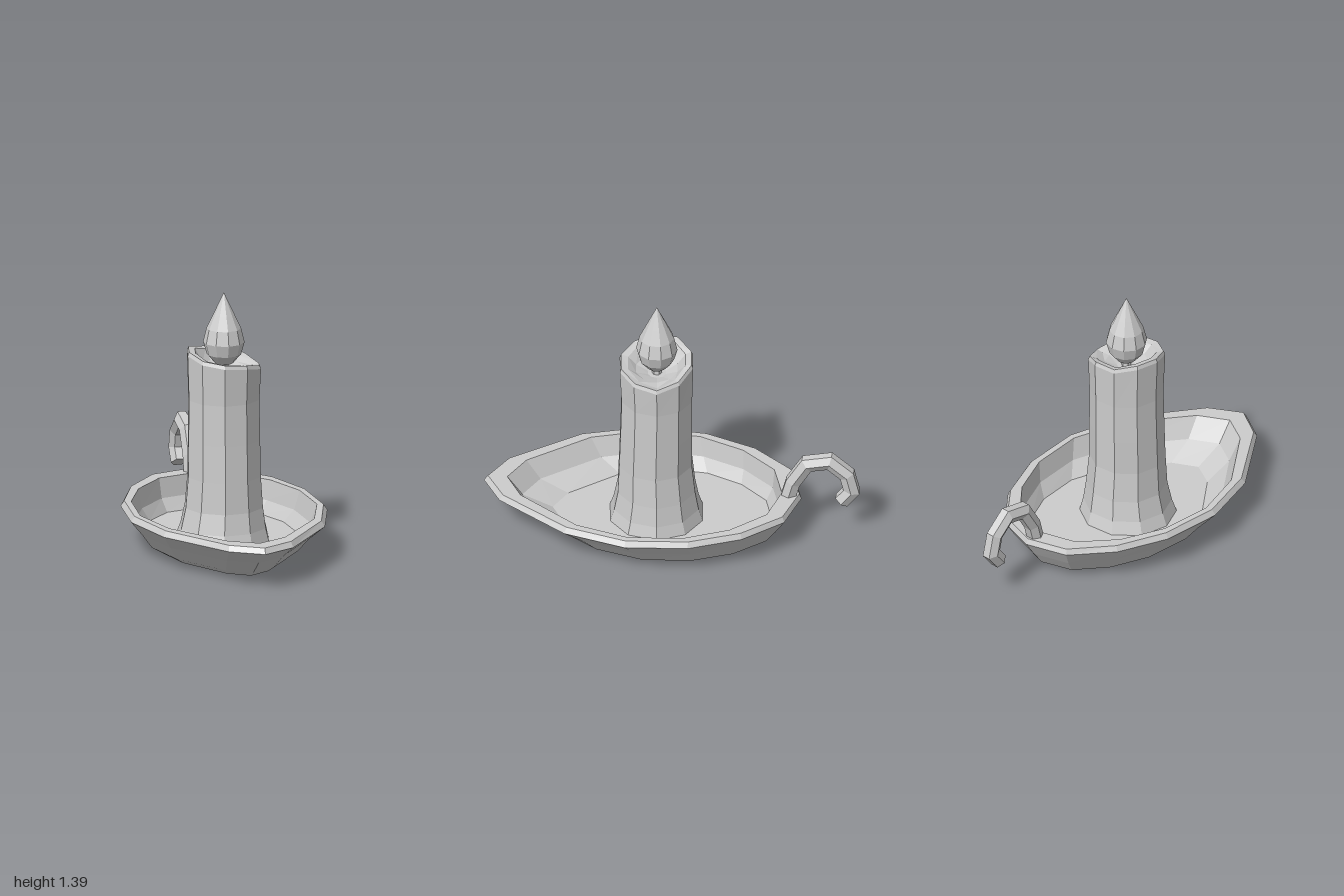
import * as THREE from 'three';

const grey = new THREE.MeshStandardMaterial({ color: 0xcccccc });
grey.name = 'plain grey';
grey.flatShading = true;

// Skins a list of equal-length rings of [x, y, z] points and closes both ends.
function loft(name, rings) {
  const pos = [];
  const n = rings[0].length;
  const tri = (...pts) => pts.forEach((p) => pos.push(...p));
  const centre = (ring) => [0, 1, 2].map((k) => ring.reduce((s, p) => s + p[k], 0) / n);
  for (let r = 0; r < rings.length - 1; r++) {
    const a = rings[r], b = rings[r + 1];
    for (let i = 0; i < n; i++) {
      const j = (i + 1) % n;
      tri(a[i], a[j], b[j]);
      tri(a[i], b[j], b[i]);
    }
  }
  const first = rings[0], last = rings[rings.length - 1];
  const c0 = centre(first), c1 = centre(last);
  for (let i = 0; i < n; i++) {
    const j = (i + 1) % n;
    tri(c0, first[j], first[i]);
    tri(c1, last[i], last[j]);
  }
  const geo = new THREE.BufferGeometry();
  geo.setAttribute('position', new THREE.Float32BufferAttribute(pos, 3));
  geo.computeVertexNormals();
  const mesh = new THREE.Mesh(geo, grey);
  mesh.name = name;
  return mesh;
}

// Leaf-shaped saucer: one outline, scaled for each level.
function makeDish() {
  const half = [[0, 1], [0.175, 0.9], [0.44, 0.53], [0.535, 0.2],
    [0.51, -0.135], [0.4, -0.41], [0.225, -0.62], [0, -0.69]];
  const mirrored = half.slice(1, -1).reverse().map(([x, z]) => [-x, z]);
  const outline = [...half, ...mirrored];
  // y, x scale, z scale, z centre
  const levels = [
    [0, 0.654, 0.71, 0.08],
    [0.03, 0.75, 0.77, 0.08],
    [0.11, 0.86, 0.87, 0.105],
    [0.2, 1, 1, 0.155],
    [0.23, 0.963, 0.98, 0.15],
    [0.23, 0.9, 0.864, 0.145],
    [0.12, 0.85, 0.81, 0.11],
    [0.05, 0.75, 0.69, 0.05],
  ];
  return loft('dish', levels.map(([y, sx, sz, cz]) =>
    outline.map(([x, z]) => [x * sx, y, cz + (z - 0.155) * sz])));
}

// Slightly bent ten-sided candle with a melted, uneven rim and hollow top.
function makeCandle() {
  const sides = 10;
  const rim = [1.045, 1.035, 1.01, 0.99, 1.02, 1.06, 1.06, 1.085, 1.085, 1.06];
  const ring = (r, cx, cz, height) => Array.from({ length: sides }, (_, i) => {
    const a = ((-12 + i * 36) * Math.PI) / 180;
    return [cx + r * Math.sin(a), height(i), cz + r * Math.cos(a)];
  });
  // y, radius, x centre, z centre
  const body = [
    [0.04, 0.26, -0.01, 0.083],
    [0.12, 0.235, -0.005, 0.083],
    [0.23, 0.215, 0, 0.082],
    [0.4, 0.202, 0, 0.087],
    [0.6, 0.199, 0, 0.083],
    [0.82, 0.196, 0, 0.08],
  ].map(([y, r, cx, cz]) => ring(r, cx, cz, () => y));
  return loft('candle', [
    ...body,
    ring(0.204, 0, 0.082, (i) => rim[i] - 0.02),
    ring(0.196, 0, 0.082, (i) => rim[i]),
    ring(0.16, 0, 0.08, (i) => rim[i] - 0.008),
    ring(0.115, 0, 0.08, (i) => 0.985 + (rim[i] - 0.99) * 0.2),
    ring(0.05, 0, 0.08, () => 0.97),
  ]);
}

// Hexagonal bar swept along a hook at the back of the dish.
function makeHandle() {
  const path = [[-0.61, 0.17], [-0.625, 0.235], [-0.645, 0.31], [-0.718, 0.43],
    [-0.84, 0.455], [-0.933, 0.375], [-0.957, 0.275], [-0.903, 0.205]];
  const dir = (a, b) => new THREE.Vector2(b[0] - a[0], b[1] - a[1]).normalize();
  const rings = path.map((p, k) => {
    const before = k > 0 ? dir(path[k - 1], p) : dir(p, path[1]);
    const after = k < path.length - 1 ? dir(p, path[k + 1]) : before;
    const t = before.clone().add(after).normalize();
    const mitre = 1 / t.dot(before);
    return Array.from({ length: 6 }, (_, i) => {
      const a = Math.PI / 6 + (i * Math.PI) / 3;
      const off = 0.045 * Math.cos(a) * mitre;
      return [0.045 * Math.sin(a), p[1] - t.x * off, p[0] + t.y * off];
    });
  });
  return loft('handle', rings);
}

// Teardrop flame.
function makeFlame() {
  const profile = [[0, 1.01], [0.05, 1.01], [0.092, 1.06], [0.11, 1.125],
    [0.092, 1.2], [0.057, 1.275], [0.026, 1.34], [0, 1.395]]
    .map(([r, y]) => new THREE.Vector2(r, y));
  const flame = new THREE.Mesh(new THREE.LatheGeometry(profile, 10), grey);
  flame.name = 'flame';
  flame.position.z = 0.08;
  return flame;
}

function makeWick() {
  const wick = new THREE.Mesh(new THREE.CylinderGeometry(0.022, 0.028, 0.08, 6), grey);
  wick.name = 'wick';
  wick.position.set(0, 0.99, 0.08);
  return wick;
}

export function createModel() {
  const model = new THREE.Group();
  model.name = 'candle holder';
  model.add(makeDish(), makeCandle(), makeWick(), makeFlame(), makeHandle());
  return model;
}
